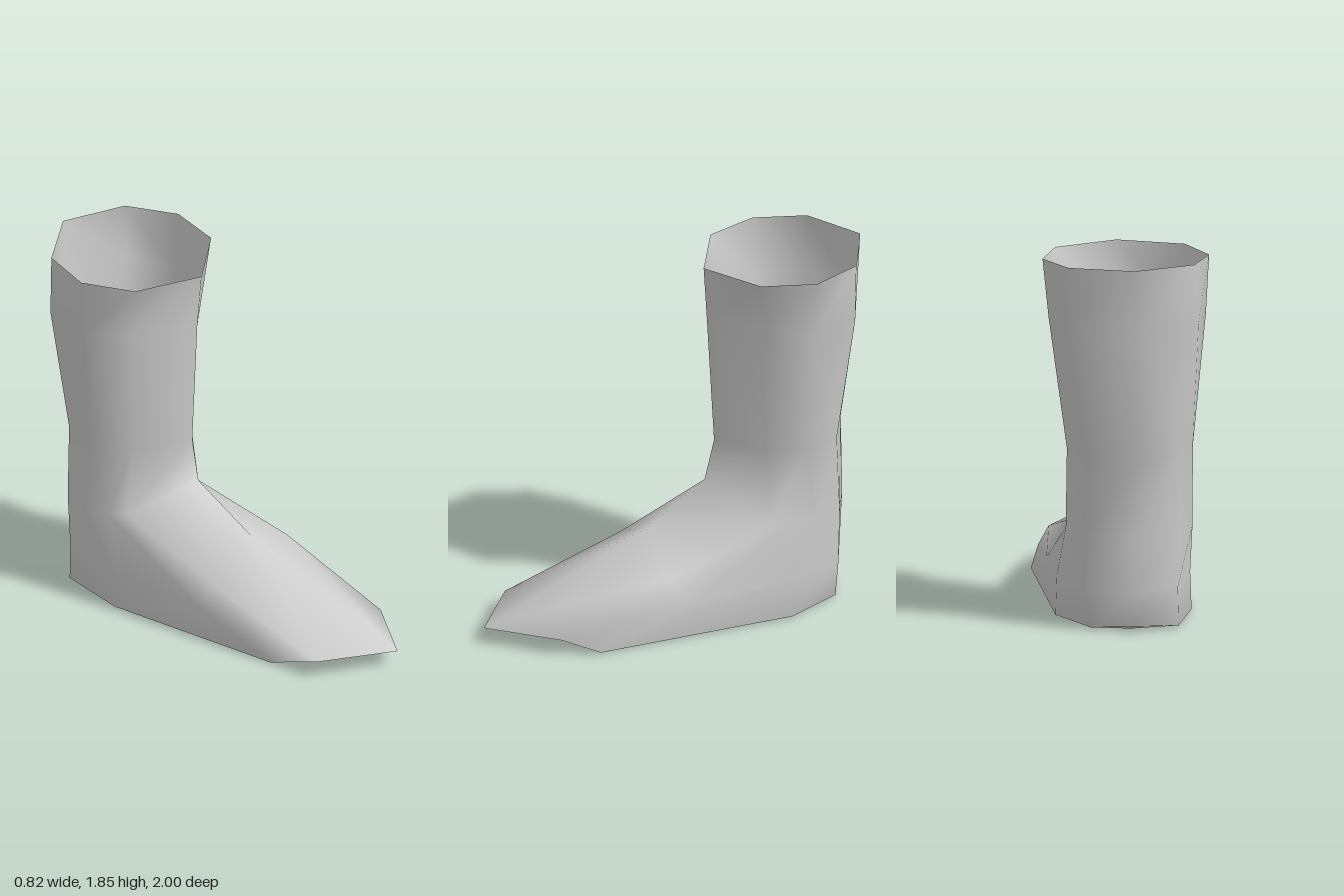
import * as THREE from 'three';
import { mergeVertices } from 'three/addons/utils/BufferGeometryUtils.js';

// Closed 10-point ring from a front-to-back left half and a right half (a mirror copy by default).
function ring(left, shift, right = left.slice(1, -1)) {
  const mirrored = [...right].reverse().map(([x, y, z]) => [-x, y, z]);
  return [...left, ...mirrored].map(([x, y, z]) => [x + shift, y, z]);
}

// Smooth skin through the rings (top to bottom), closed underneath by a fan.
// The quads below the second ring are split along the other diagonal, which forms the folds.
function loft(rings, bottom) {
  const n = rings[0].length;
  const index = [];
  for (let r = 0; r < rings.length - 1; r++) {
    for (let c = 0; c < n; c++) {
      const a = r * n + c, b = r * n + (c + 1) % n;
      if (r === 1) index.push(a, a + n, b + n, a, b + n, b);
      else index.push(a, a + n, b, b, a + n, b + n);
    }
  }
  const last = (rings.length - 1) * n, centre = rings.length * n;
  for (let c = 0; c < n; c++) index.push(centre, last + (c + 1) % n, last + c);

  const geometry = new THREE.BufferGeometry();
  geometry.setAttribute('position', new THREE.Float32BufferAttribute([...rings.flat(2), ...bottom], 3));
  geometry.setIndex(index);
  const merged = mergeVertices(geometry);
  merged.computeVertexNormals();
  return merged;
}

export function createModel() {
  const grey = new THREE.MeshStandardMaterial({ color: 0xcccccc, side: THREE.DoubleSide });
  grey.name = 'light grey';

  // Left halves run front, front corner, front side, side, back corner, back.
  // The shaft is eight-sided, so its two side points coincide.
  const rim = ring([[0, 1.81, -0.17], [0.32, 1.82, -0.34], [0.41, 1.825, -0.6],
    [0.41, 1.825, -0.6], [0.31, 1.835, -0.85], [0, 1.845, -1]], 0);
  const calf = ring([[0, 1.53, -0.19], [0.25, 1.54, -0.4], [0.387, 1.53, -0.6],
    [0.387, 1.53, -0.6], [0.325, 1.54, -0.84], [-0.05, 1.53, -0.965]], -0.007);
  const ankle = ring([[0.02, 0.87, -0.225], [0.24, 0.87, -0.4], [0.31, 0.87, -0.6],
    [0.31, 0.87, -0.6], [0.225, 0.87, -0.79], [0, 0.87, -0.905]], -0.02);
  const bend = ring([[0, 0.66, -0.18], [0.25, 0.5, -0.43], [0.285, 0.49, -0.52],
    [0.312, 0.48, -0.64], [0.23, 0.47, -0.8], [0, 0.47, -0.91]], -0.012);
  const instep = ring([[0, 0.45, 0.13], [0.305, 0.31, 0.13], [0.325, 0.17, 0.05],
    [0.328, 0.2, -0.45], [0.23, 0.2, -0.79], [0, 0.2, -0.89]], -0.005);
  const edge = ring([[0.01, 0.08, 1], [0.29, 0.08, 0.7], [0.345, 0.005, 0.52],
    [0.335, 0.01, -0.5], [0.19, 0.01, -0.79], [-0.02, 0.03, -0.875]], 0,
    [[0.32, 0.09, 0.75], [0.335, 0.005, 0.48], [0.34, 0.01, -0.45], [0.24, 0.01, -0.79]]);
  const sole = ring([[0, 0, 0.72], [0.22, 0, 0.55], [0.31, 0, 0.44],
    [0.31, 0, -0.45], [0.18, 0, -0.74], [0, 0, -0.79]], 0);

  // Open-topped boot, one continuous skin
  const boot = new THREE.Mesh(loft([rim, calf, ankle, bend, instep, edge, sole], [0, 0, 0]), grey);
  boot.name = 'boot';

  const group = new THREE.Group();
  group.name = 'ankleBoot';
  group.add(boot);
  return group;
}
